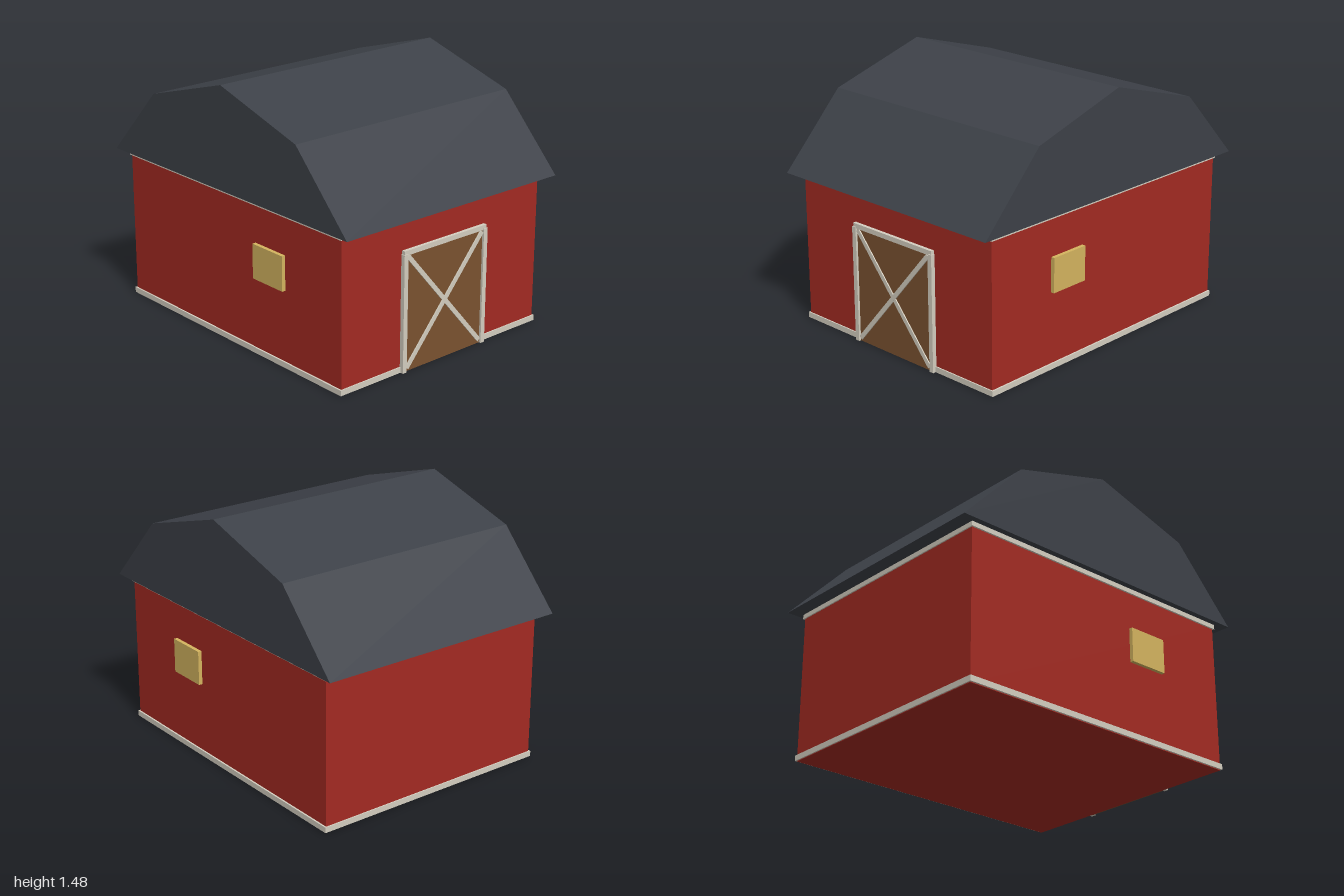
import * as THREE from 'three';

const mat = (color) => new THREE.MeshStandardMaterial({ color, flatShading: true });

export function createModel() {
  const barn = new THREE.Group();
  barn.name = 'barn';
  const red = mat(0xa32a22), slate = mat(0x3d4148), cream = mat(0xd4cec0);
  const wood = mat(0x7a5230), glow = mat(0xd4b45f);

  const box = (name, material, size, pos, parent = barn) => {
    const mesh = new THREE.Mesh(new THREE.BoxGeometry(...size), material);
    mesh.name = name;
    mesh.position.set(...pos);
    parent.add(mesh);
    return mesh;
  };

  // Walls, with trim bands at the foot and under the eaves
  box('walls', red, [1.45, 0.88, 1.82], [0, 0.44, 0]);
  box('baseTrim', cream, [1.47, 0.032, 1.835], [0, 0.02, 0]);
  box('eavesTrim', cream, [1.47, 0.028, 1.835], [0, 0.877, 0]);

  // Gambrel roof: profile in (z, y), extruded along x
  const profile = [[-1, 0.89], [1, 0.89], [0.61, 1.3], [0, 1.48], [-0.61, 1.3]];
  const roofShape = new THREE.Shape(profile.map(([z, y]) => new THREE.Vector2(z, y)));
  const roofGeo = new THREE.ExtrudeGeometry(roofShape, { depth: 1.54, bevelEnabled: false });
  roofGeo.translate(0, 0, -0.77).rotateY(-Math.PI / 2);
  const roof = new THREE.Mesh(roofGeo, slate);
  roof.name = 'roof';
  barn.add(roof);

  // Barn door with frame and crossed braces
  const door = new THREE.Group();
  door.name = 'door';
  barn.add(door);
  box('doorPanel', wood, [0.58, 0.68, 0.02], [0, 0.343, 0.912], door);
  box('doorLintel', cream, [0.61, 0.028, 0.03], [0, 0.684, 0.915], door);
  const w = 0.55, h = 0.64;
  for (const s of [-1, 1]) {
    box('doorPost', cream, [0.028, 0.675, 0.035], [s * 0.296, 0.3405, 0.9175], door);
    const brace = box('doorBrace', cream, [Math.hypot(w, h), 0.026, 0.014], [0, 0.343, 0.922 + s * 0.0005], door);
    brace.rotation.z = s * Math.atan2(h, w);
  }

  // One window on each side wall, towards the front
  for (const s of [-1, 1]) {
    box(s > 0 ? 'leftWindow' : 'rightWindow', glow, [0.04, 0.2, 0.245], [s * 0.727, 0.548, 0.343]);
  }

  return barn;
}
